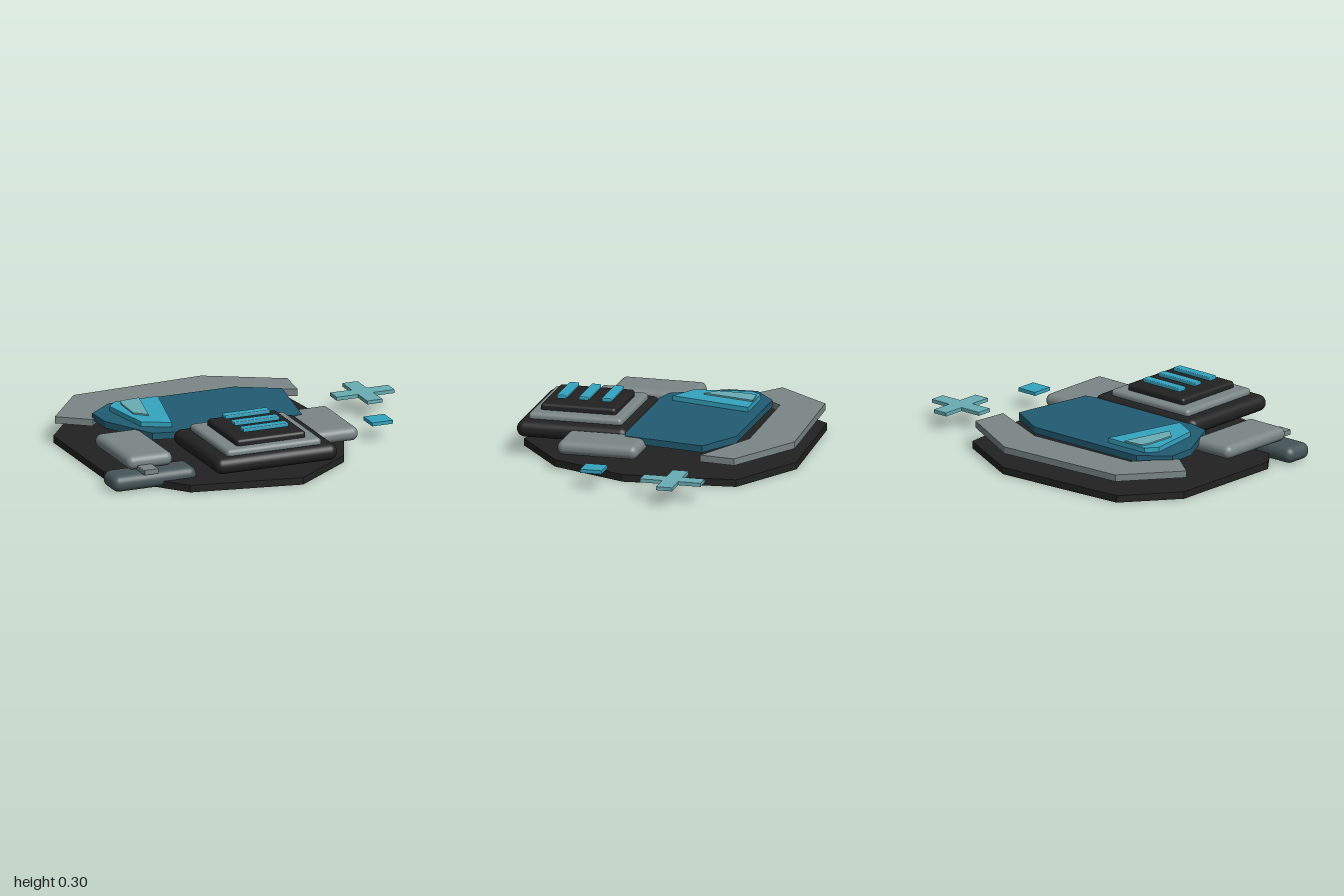
import * as THREE from 'three';
import { RoundedBoxGeometry } from 'three/addons/geometries/RoundedBoxGeometry.js';

const material = (name, color) => {
  const m = new THREE.MeshStandardMaterial({ color });
  m.name = name;
  return m;
};

export function createModel() {
  const model = new THREE.Group();
  model.name = 'helmetEmblem';
  const black = material('black', 0x222222);
  const grey = material('grey', 0x7b8687);
  const slate = material('slate', 0x465659);
  const blue = material('deepBlue', 0x225c73);
  const cyan = material('cyan', 0x35a4c0);
  const pale = material('paleTeal', 0x68adb4);

  const add = (name, geometry, mat) => {
    const mesh = new THREE.Mesh(geometry, mat);
    mesh.name = name;
    model.add(mesh);
    return mesh;
  };

  // Flat plate from an outline of [x, z] points, between two heights
  const plate = (name, mat, y0, y1, points) => {
    const shape = new THREE.Shape(points.map(([x, z]) => new THREE.Vector2(x, -z)));
    const g = new THREE.ExtrudeGeometry(shape, { depth: y1 - y0, bevelEnabled: false });
    g.rotateX(-Math.PI / 2).translate(0, y0, 0);
    return add(name, g, mat);
  };

  // Rounded block given by its limits on each axis
  const block = (name, mat, [x0, x1], [y0, y1], [z0, z1], radius) => {
    const g = new RoundedBoxGeometry(x1 - x0, y1 - y0, z1 - z0, 4, radius);
    g.translate((x0 + x1) / 2, (y0 + y1) / 2, (z0 + z1) / 2);
    return add(name, g, mat);
  };

  // Backing plate
  plate('backingPlate', black, 0, 0.04, [
    [0.57, 0.07], [0.505, -0.555], [0.08, -0.78], [-0.71, -0.735], [-0.94, -0.44],
    [-0.94, 0.25], [-0.6, 0.665], [0.02, 0.78], [0.38, 0.505],
  ]);

  // Brow band around the top of the visor
  plate('browBand', grey, 0.117, 0.155, [
    [-0.94, -0.42], [-0.695, -0.73], [0.08, -0.77], [0.495, -0.54],
    [0.47, -0.34], [0.085, -0.515], [-0.6, -0.5], [-0.77, -0.29],
  ]);

  // Visor with two layers of glint
  plate('visor', blue, 0.14, 0.178, [
    [-0.605, -0.455], [0.14, -0.455], [0.37, -0.325], [0.29, 0.135], [0.22, 0.15],
    [-0.47, 0.155], [-0.595, 0.125], [-0.75, -0.17], [-0.757, -0.33],
  ]);
  plate('visorGlint', cyan, 0.178, 0.205, [
    [-0.605, -0.39], [-0.34, -0.39], [-0.455, 0.07], [-0.605, -0.01], [-0.655, -0.325],
  ]);
  plate('visorHighlight', pale, 0.2, 0.213, [
    [-0.57, -0.375], [-0.455, -0.385], [-0.525, -0.09], [-0.59, -0.15], [-0.585, -0.33],
  ]);

  // Stepped mouthpiece
  block('mouthpieceBase', black, [-0.485, 0.24], [0.105, 0.197], [0.14, 0.77], 0.044);
  block('mouthpieceFrame', grey, [-0.405, 0.16], [0.165, 0.23], [0.19, 0.72], 0.022);
  block('mouthpiecePanel', black, [-0.325, 0.085], [0.21, 0.265], [0.245, 0.67], 0.018);

  // Vent bars
  for (const z of [0.317, 0.445, 0.57]) {
    block('ventBar', cyan, [-0.255, 0.013], [0.278, 0.3], [z - 0.027, z + 0.027], 0.005);
  }

  // Cheek pads, with a stub leading to the filter
  block('rightCheekPad', grey, [-0.885, -0.615], [0.097, 0.175], [-0.015, 0.47], 0.037);
  block('leftCheekPad', grey, [0.22, 0.49], [0.097, 0.175], [0.015, 0.47], 0.037);
  block('filterStub', grey, [-0.83, -0.745], [0.095, 0.125], [0.42, 0.563], 0.004);
  block('filter', slate, [-1, -0.5], [0.002, 0.095], [0.36, 0.54], 0.044);

  // Floating plus and square
  const [cx, cz, arm, half] = [0.83, -0.283, 0.172, 0.045];
  const quarter = [[half, -arm], [half, -half], [arm, -half]];
  const plus = [];
  for (let i = 0; i < 4; i++) {
    for (let [x, z] of quarter) {
      for (let k = 0; k < i; k++) [x, z] = [-z, x];
      plus.push([cx + x, cz + z]);
    }
  }
  plate('plusSign', pale, 0.095, 0.115, plus);
  plate('squareChip', cyan, 0.095, 0.115, [[0.657, 0.133], [0.78, 0.133], [0.78, 0.255], [0.657, 0.255]]);

  return model;
}
